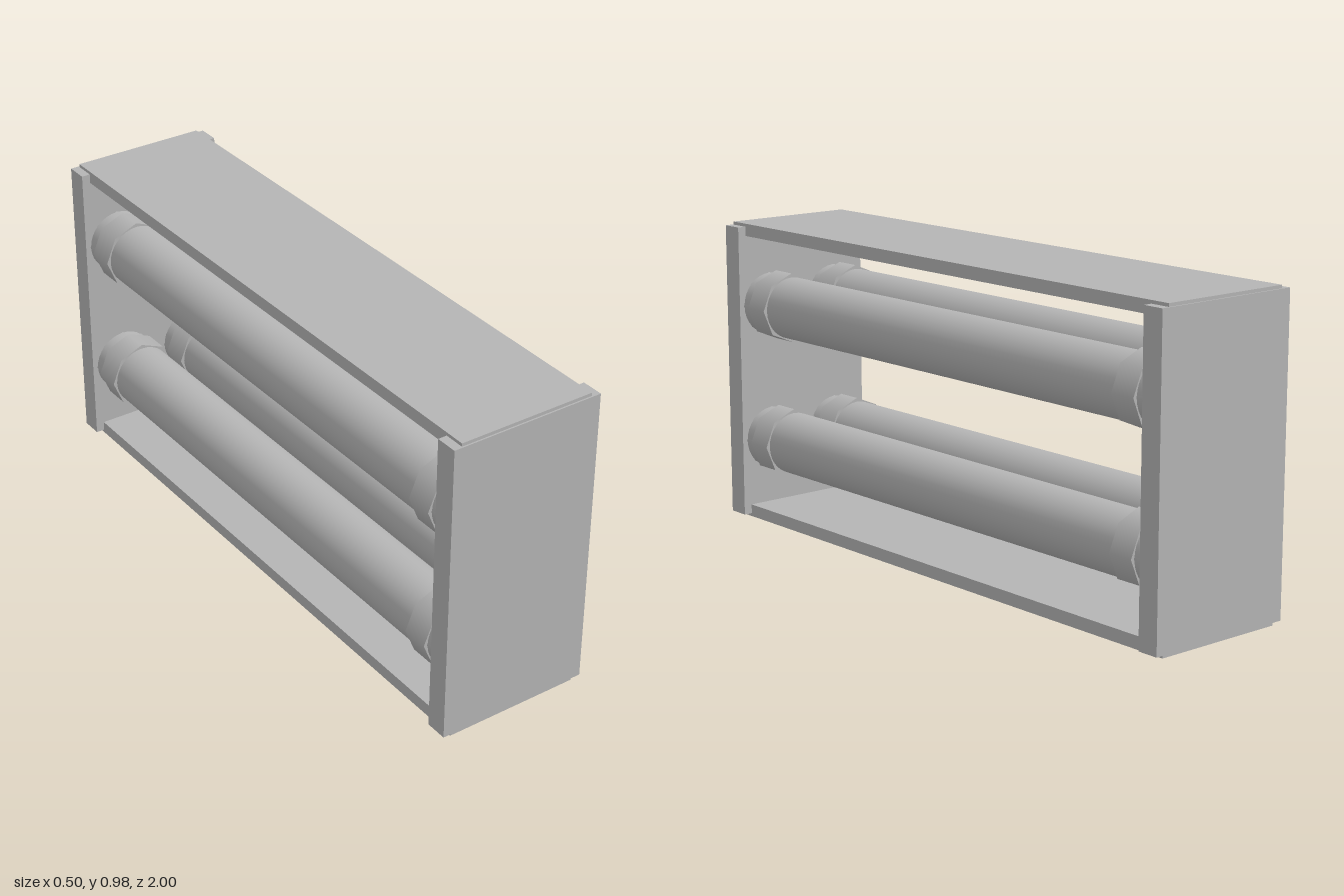
import * as THREE from 'three';

export function createModel() {
  const model = new THREE.Group();
  const gray = new THREE.MeshStandardMaterial({ color: 0xb4b4b4 });
  gray.name = 'gray';

  const add = (name, geometry, x, y, z) => {
    const mesh = new THREE.Mesh(geometry, gray);
    mesh.name = name;
    mesh.position.set(x, y, z);
    model.add(mesh);
  };
  // Cylinder lying along z
  const rod = (radius, length, sides) =>
    new THREE.CylinderGeometry(radius, radius, length, sides).rotateX(Math.PI / 2);

  // Frame: long top and bottom panels between two wider end plates
  const panel = new THREE.BoxGeometry(0.44, 0.04, 1.99);
  add('topPanel', panel, 0, 0.96, 0);
  add('bottomPanel', panel, 0, 0.02, 0);
  const endPlate = new THREE.BoxGeometry(0.496, 0.96, 0.07);
  for (const s of [1, -1]) add(s > 0 ? 'frontPlate' : 'backPlate', endPlate, 0, 0.49, s * 0.965);

  // Four tubes, each with an eight-sided collar and a socket at both ends
  const tube = rod(0.1, 1.87, 32);
  const collar = rod(0.113, 0.086, 8);
  const socket = rod(0.102, 0.045, 8);
  for (const x of [-0.13, 0.13]) {
    for (const y of [0.26, 0.71]) {
      add('tube', tube, x, y, 0);
      for (const s of [1, -1]) {
        add('collar', collar, x, y, s * 0.848);
        add('socket', socket, x, y, s * 0.91);
      }
    }
  }
  return model;
}
